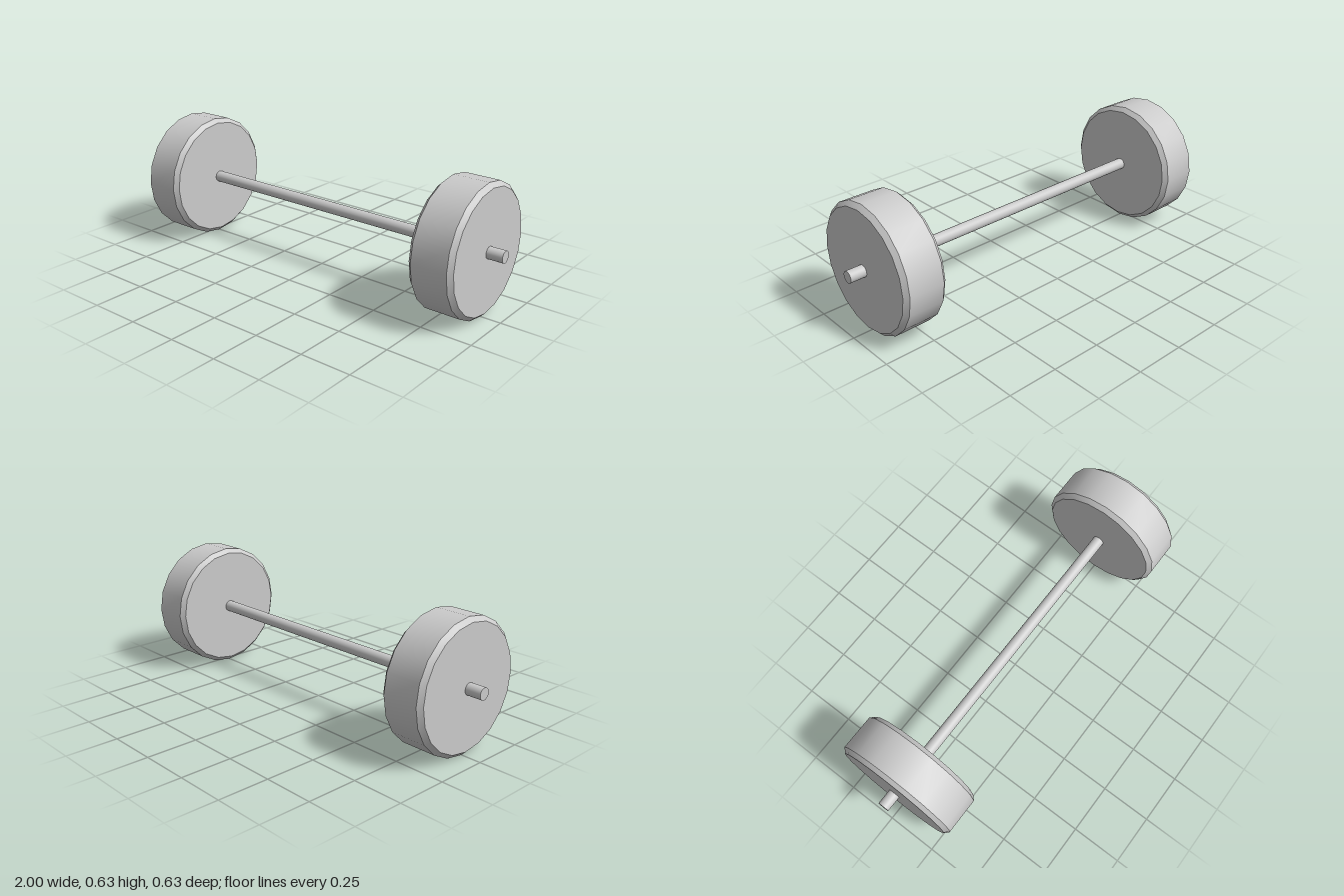
import * as THREE from 'three';
import { toCreasedNormals } from 'three/addons/utils/BufferGeometryUtils.js';

const AXLE_Y = 0.313;
const WHEEL = { radius: 0.313, width: 0.217, chamfer: 0.021, x: 0.8135, sides: 20 };

export function createModel() {
  const model = new THREE.Group();
  const material = new THREE.MeshStandardMaterial({ color: 0xcccccc });

  // Parts are turned about y, then laid along x
  const addPart = (name, geometry, x) => {
    geometry.rotateZ(-Math.PI / 2);
    const mesh = new THREE.Mesh(geometry, material);
    mesh.name = name;
    mesh.position.set(x, AXLE_Y, 0);
    model.add(mesh);
  };

  // Long axle rod through both wheels
  addPart('axle', new THREE.CylinderGeometry(0.0285, 0.0285, 2, 32), 0);

  // Solid wheel with chamfered rims
  const { radius: r, width, chamfer: c, sides } = WHEEL;
  const h = width / 2;
  const profile = [[0, -h], [r - c, -h], [r, -h + c], [r, h - c], [r - c, h], [0, h]]
    .map(([x, y]) => new THREE.Vector2(x, y));

  for (const [name, side] of [['leftWheel', 1], ['rightWheel', -1]]) {
    const wheel = toCreasedNormals(new THREE.LatheGeometry(profile, sides), Math.PI / 6);
    addPart(name, wheel, side * WHEEL.x);
  }
  return model;
}
